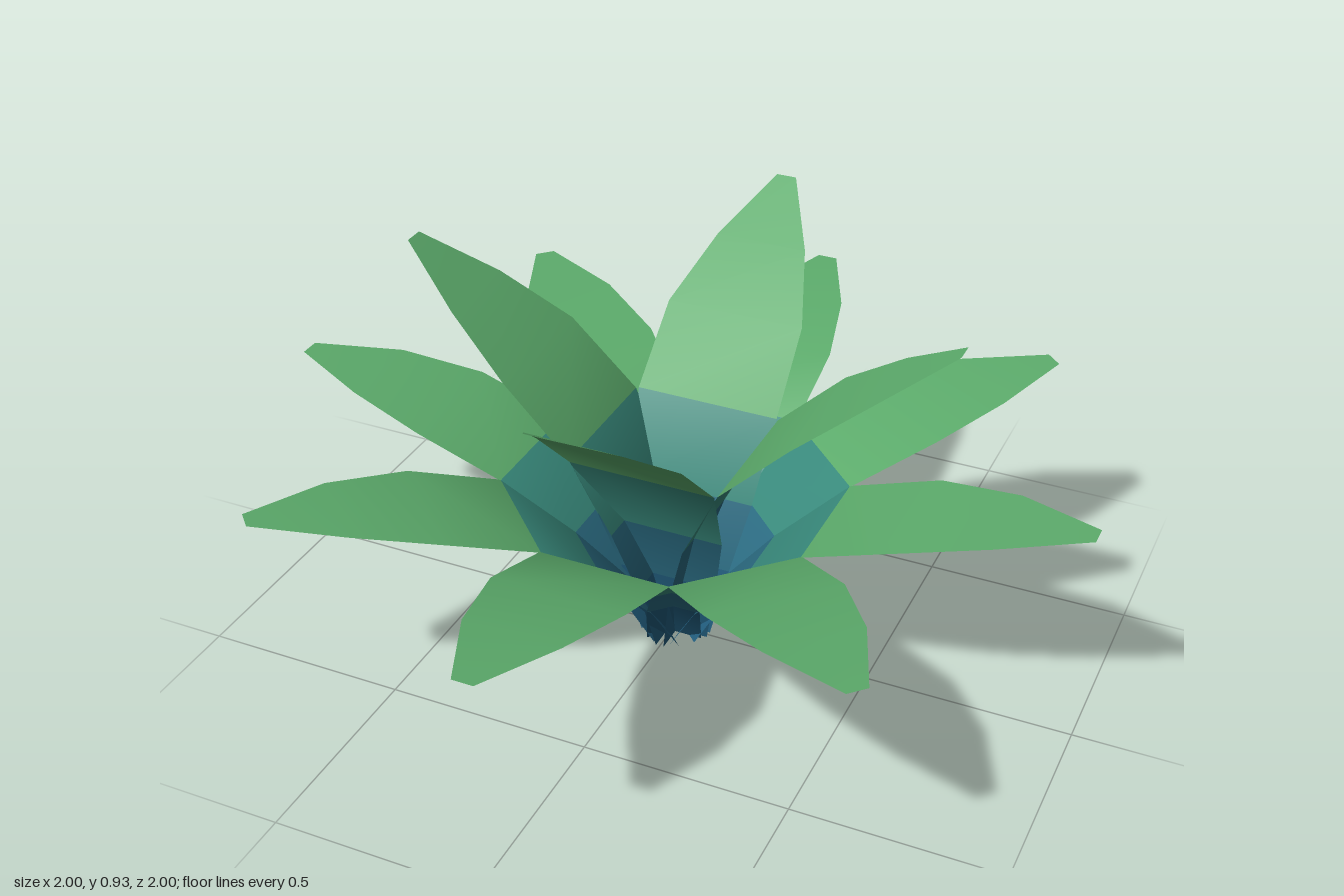
import * as THREE from 'three';

const paint = (name, color) =>
  new THREE.MeshStandardMaterial({ name, color, side: THREE.DoubleSide });

// Leaf cross-sections from base to tip: [distance out, height, half width]
const OUTER = [
  [0.02, 0, 0.08], [0.10, 0.14, 0.11], [0.22, 0.275, 0.14], [0.38, 0.42, 0.16],
  [0.60, 0.495, 0.16], [0.80, 0.535, 0.115], [1.0, 0.555, 0.025],
];
const INNER = [
  [0.01, 0, 0.09], [0.04, 0.175, 0.125], [0.09, 0.345, 0.16], [0.185, 0.54, 0.18],
  [0.35, 0.70, 0.174], [0.51, 0.82, 0.115], [0.67, 0.93, 0.025],
];

// Flat-across strip that curves outward along +z, one material band per segment
function leafGeometry(rows) {
  const positions = [];
  const indices = [];
  const geometry = new THREE.BufferGeometry();
  rows.forEach(([out, height, half], i) => {
    positions.push(-half, height, out, half, height, out);
    if (i === rows.length - 1) return;
    const a = i * 2;
    indices.push(a, a + 2, a + 1, a + 1, a + 2, a + 3);
    geometry.addGroup(i * 6, 6, Math.min(i, 3));
  });
  geometry.setAttribute('position', new THREE.Float32BufferAttribute(positions, 3));
  geometry.setIndex(indices);
  geometry.computeVertexNormals();
  return geometry;
}

export function createModel() {
  const model = new THREE.Group();
  model.name = 'rosettePlant';
  const bands = [
    paint('deepBlue', 0x215c7c),
    paint('blue', 0x2a6a80),
    paint('teal', 0x38897b),
    paint('leafGreen', 0x5cab6b),
  ];

  // Ring of identical leaves around the centre
  const addRing = (name, rows, count) => {
    const ring = new THREE.Group();
    ring.name = name + 'Ring';
    const geometry = leafGeometry(rows);
    for (let i = 0; i < count; i++) {
      const leaf = new THREE.Mesh(geometry, bands);
      leaf.name = name;
      leaf.rotation.y = (i / count) * Math.PI * 2;
      ring.add(leaf);
    }
    model.add(ring);
  };

  addRing('outerLeaf', OUTER, 8);
  addRing('innerLeaf', INNER, 4);
  return model;
}
